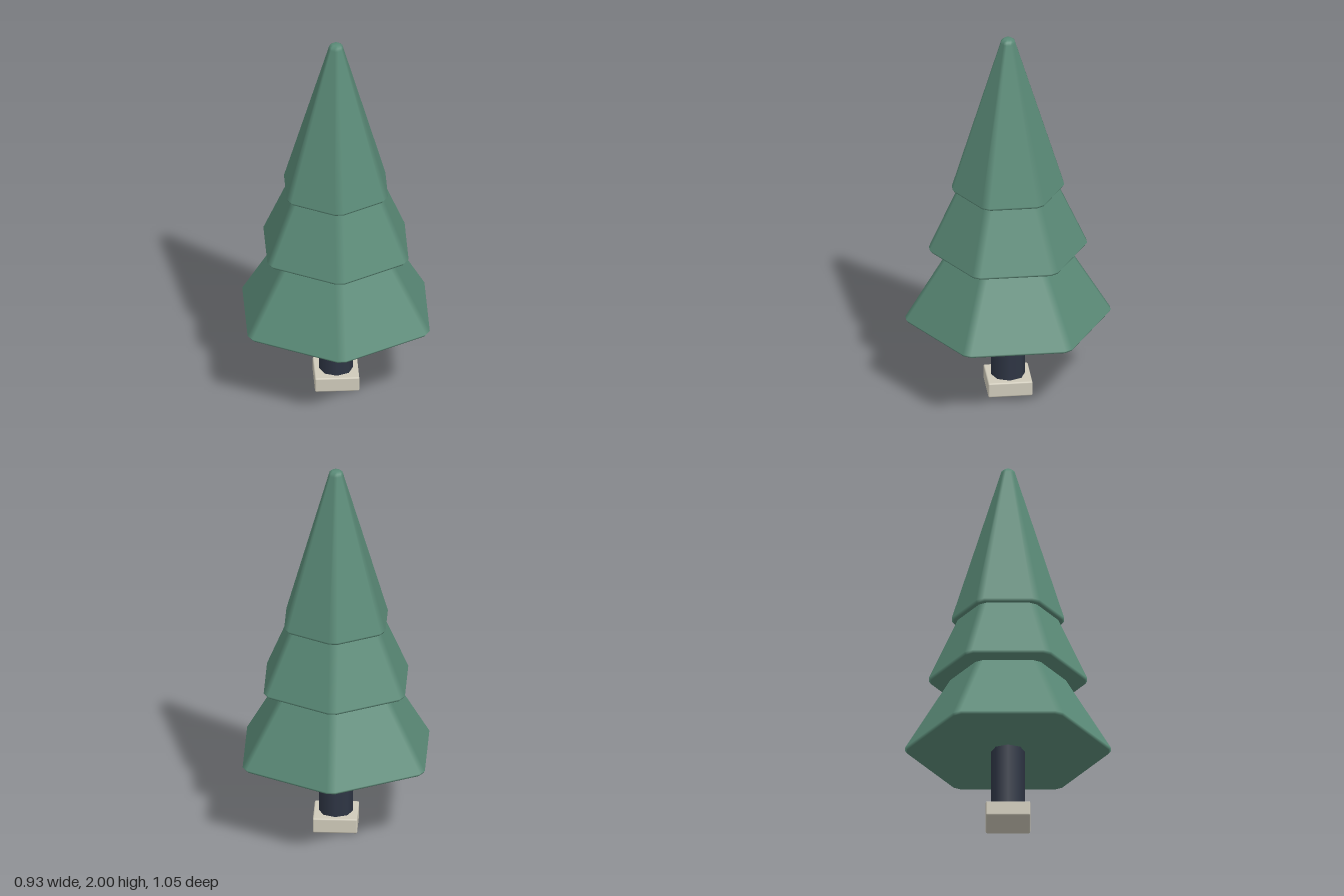
import * as THREE from 'three';
import { RoundedBoxGeometry } from 'three/addons/geometries/RoundedBoxGeometry.js';

const CORNER_CUT = 0.013;

// Hexagonal tier with softened corners.
// Rows run bottom to top: [apothem, y, outward normal, upward normal]
function hexTier(rows) {
  const position = [], normal = [], index = [];
  for (const [a, y, out, up] of rows) {
    const len = Math.hypot(out, up) || 1;
    const cut = Math.min(CORNER_CUT, a * 0.14);
    const half = a / Math.sqrt(3) - 2 * cut;
    for (let k = 0; k < 6; k++) {
      const angle = Math.PI / 6 + k * Math.PI / 3;
      const s = Math.sin(angle), c = Math.cos(angle);
      for (const h of [-half, half]) {
        position.push(s * a + c * h, y, c * a - s * h);
        normal.push(s * out / len, up / len, c * out / len);
      }
    }
  }
  for (let r = 0; r < rows.length - 1; r++) {
    for (let j = 0; j < 12; j++) {
      const a = r * 12 + j, b = r * 12 + (j + 1) % 12;
      index.push(a, b, b + 12, a, b + 12, a + 12);
    }
  }
  const geometry = new THREE.BufferGeometry();
  geometry.setAttribute('position', new THREE.Float32BufferAttribute(position, 3));
  geometry.setAttribute('normal', new THREE.Float32BufferAttribute(normal, 3));
  geometry.setIndex(index);
  return geometry;
}

// Underside, bevelled lower rim, sloping sides and top
function tierRows(y0, a0, y1, a1, rounded) {
  const out = y1 - y0 - 0.014, up = a0 - a1;
  const rows = [
    [0, y0, 0, -1],
    [a0 - 0.009, y0, 0, -1],
    [a0, y0 + 0.014, out, up],
  ];
  if (rounded) {
    rows.push(
      [a1, y1 - 0.025, out, up],
      [a1 * 0.88, y1 - 0.01, 1, 0.8],
      [a1 * 0.55, y1 - 0.001, 0.3, 1],
      [0, y1, 0, 1],
    );
  } else {
    rows.push([a1, y1, out, up], [a1, y1, 0, 1], [0, y1, 0, 1]);
  }
  return rows;
}

export function createModel() {
  const green = new THREE.MeshStandardMaterial({ name: 'needleGreen', color: 0x5a8a77 });
  const dark = new THREE.MeshStandardMaterial({ name: 'trunkSlate', color: 0x2e3544 });
  const cream = new THREE.MeshStandardMaterial({ name: 'baseCream', color: 0xcfcaba });

  const group = new THREE.Group();
  group.name = 'tree';
  const add = (name, geometry, material, y = 0) => {
    const mesh = new THREE.Mesh(geometry, material);
    mesh.name = name;
    mesh.position.y = y;
    group.add(mesh);
    return mesh;
  };

  // Square foot and trunk
  add('base', new RoundedBoxGeometry(0.228, 0.08, 0.228, 2, 0.008), cream, 0.04);
  add('trunk', new THREE.CylinderGeometry(0.088, 0.088, 0.42, 8), dark, 0.22);

  // Three stacked branch tiers
  add('lowerBranches', hexTier(tierRows(0.41, 0.467, 0.86, 0.238)), green);
  add('middleBranches', hexTier(tierRows(0.803, 0.362, 1.2, 0.212)), green);
  add('upperBranches', hexTier(tierRows(1.143, 0.26, 2, 0.037, true)), green);

  return group;
}
